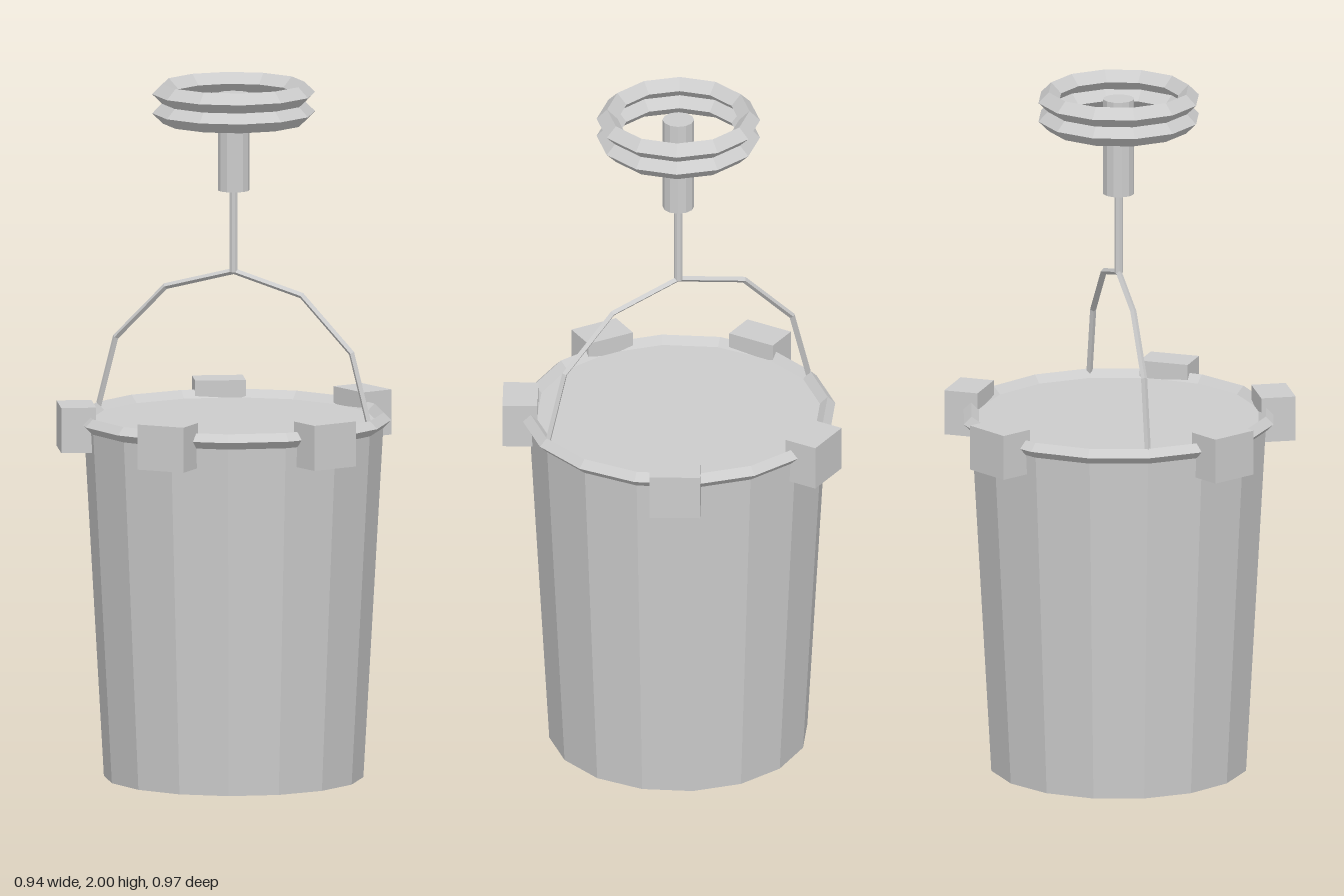
import * as THREE from 'three';

export function createModel() {
  const model = new THREE.Group();
  model.name = 'hangingBucket';
  const grey = new THREE.MeshStandardMaterial({ color: 0xcccccc });
  grey.name = 'pale grey';
  grey.flatShading = true;

  // The bucket axis sits slightly behind the centre because of the uneven lugs
  const body = new THREE.Group();
  body.name = 'bucketAssembly';
  body.position.z = -0.017;
  model.add(body);

  const add = (name, geometry, y = 0) => {
    const mesh = new THREE.Mesh(geometry, grey);
    mesh.name = name;
    mesh.position.y = y;
    body.add(mesh);
    return mesh;
  };

  // Upright cylinder between two heights
  const post = (name, rTop, rBottom, y0, y1, sides) =>
    add(name, new THREE.CylinderGeometry(rTop, rBottom, y1 - y0, sides), (y0 + y1) / 2);

  // Horizontal ring with a diamond section
  const ring = (name, radius, tube, sides, y) =>
    add(name, new THREE.TorusGeometry(radius, tube, 4, sides).rotateX(Math.PI / 2), y);

  // Tapered bucket, closed at the top, with its rim
  post('bucket', 0.428, 0.37, 0, 1.03, 16);
  ring('rim', 0.428, 0.022, 16, 1.03);

  // Lugs around the rim
  for (const degrees of [0, 60, -60, 150, -150]) {
    const a = THREE.MathUtils.degToRad(degrees);
    const lug = add('lug', new THREE.BoxGeometry(0.145, 0.13, 0.1), 1.015);
    lug.position.x = Math.sin(a) * 0.45;
    lug.position.z = Math.cos(a) * 0.45;
    lug.rotation.y = a;
  }

  // Arched handle
  add('handle', new THREE.TorusGeometry(0.427, 0.009, 4, 6, Math.PI), 1.03);

  // Hanging rod, grip and the two rings around its top
  post('rod', 0.0125, 0.0125, 1.455, 1.7, 8);
  post('grip', 0.045, 0.045, 1.69, 1.97, 12);
  ring('upperRing', 0.203, 0.03, 12, 1.97);
  ring('lowerRing', 0.203, 0.03, 12, 1.915);

  return model;
}
